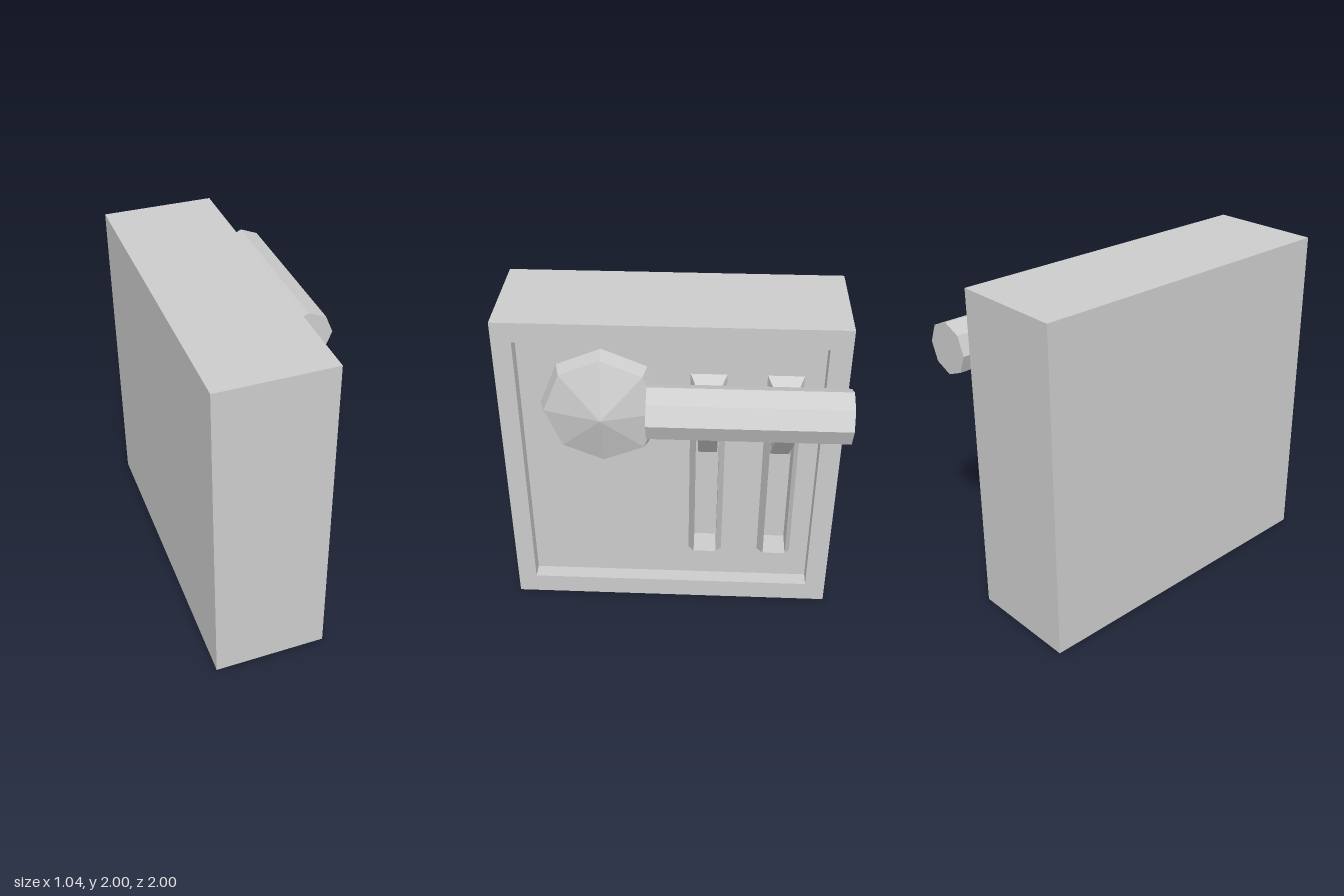
import * as THREE from 'three';

const mat = new THREE.MeshStandardMaterial({ color: 0xcccccc, flatShading: true, side: THREE.DoubleSide });

// Depths of the layers, measured along the panel's facing direction
const BACK = -0.525, PIT = -0.03, FLOOR = 0.057, LIP = 0.142, FACE = 0.15;

// Corners of a rectangle, counter-clockwise
const rect = (u0, u1, v0, v1) => [[u0, v0], [u1, v0], [u1, v1], [u0, v1]];
const toPoints = (r) => r.map(([u, v]) => new THREE.Vector2(u, v));

function add(parent, name, geometry) {
  const mesh = new THREE.Mesh(geometry, mat);
  mesh.name = name;
  parent.add(mesh);
  return mesh;
}

// Flat slab with openings, spanning two depths
function slab(outline, holes, w0, w1) {
  const shape = new THREE.Shape(toPoints(outline));
  holes.forEach((h) => shape.holes.push(new THREE.Path(toPoints(h))));
  const g = new THREE.ExtrudeGeometry(shape, { depth: w1 - w0, bevelEnabled: false });
  return g.translate(0, 0, w0);
}

// Skin over a series of equal-sized loops [corners, depth]
function skin(loops) {
  const pos = [];
  for (let k = 0; k + 1 < loops.length; k++) {
    const [a, wa] = loops[k], [b, wb] = loops[k + 1];
    for (let i = 0; i < a.length; i++) {
      const j = (i + 1) % a.length;
      const p = [...a[i], wa], q = [...a[j], wa], r = [...b[j], wb], s = [...b[i], wb];
      pos.push(...p, ...q, ...r, ...p, ...r, ...s);
    }
  }
  const g = new THREE.BufferGeometry();
  g.setAttribute('position', new THREE.Float32BufferAttribute(pos, 3));
  g.computeVertexNormals();
  return g;
}

export function createModel() {
  const model = new THREE.Group();
  model.name = 'leverSwitchBox';

  // Built facing local +z, then turned to face +x
  const panel = new THREE.Group();
  panel.name = 'panel';
  panel.rotation.y = Math.PI / 2;
  model.add(panel);

  const outline = rect(-1, 1, 0, 2);
  const starts = [0.11, 0.55];
  const slots = starts.map((u) => rect(u + 0.035, u + 0.175, 0.385, 1.61));

  // Housing: solid back, slotted floor and raised rim
  add(panel, 'housingBack', slab(outline, [], BACK, PIT));
  add(panel, 'housingFloor', slab(outline, slots, PIT, FLOOR));
  add(panel, 'housingRim', slab(outline, [rect(-0.885, 0.875, 0.13, 1.88)], FLOOR, FACE));

  starts.forEach((u, i) => {
    // Tapered frame around each slot
    const foot = rect(u, u + 0.21, 0.345, 1.65);
    add(panel, 'slotFrame', skin([[foot, FLOOR], [slots[i], LIP], [slots[i], FLOOR]]));

    // Slanted arm from the slot up to the handle
    const arm = new THREE.Shape([
      new THREE.Vector2(PIT, 1.04), new THREE.Vector2(0.365, 1.435),
      new THREE.Vector2(0.365, 1.59), new THREE.Vector2(0.21, 1.59),
      new THREE.Vector2(PIT, 1.35),
    ]);
    const g = new THREE.ExtrudeGeometry(arm, { depth: 0.115, bevelEnabled: false });
    // Profile x becomes depth, extrusion runs across the panel
    g.rotateY(-Math.PI / 2).translate(u + 0.165, 0, 0);
    add(panel, 'leverArm', g);
  });

  // Eight-sided handle bar
  const bar = new THREE.CylinderGeometry(0.155, 0.155, 1.12, 8);
  bar.rotateZ(Math.PI / 2).translate(0.44, 1.59, 0.365);
  add(panel, 'handleBar', bar);

  // Faceted button: bevelled edge and a low point in the middle
  const profile = [[0.37, FLOOR], [0.34, 0.144], [0, 0.245]].map(([r, w]) => new THREE.Vector2(r, w));
  const button = new THREE.LatheGeometry(profile, 8);
  button.rotateX(Math.PI / 2).translate(-0.4, 1.43, 0);
  add(panel, 'button', button);

  return model;
}
